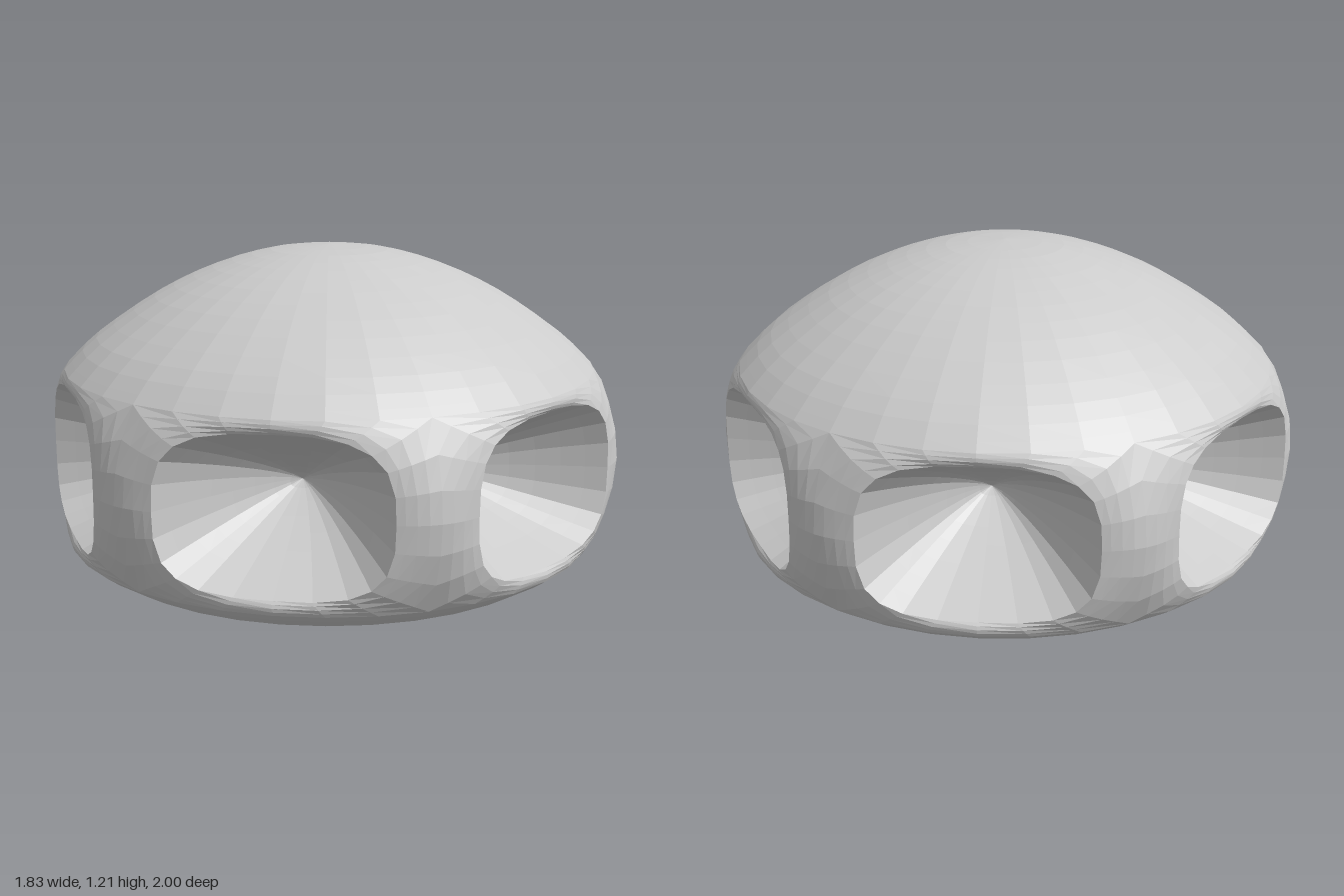
import * as THREE from 'three';

const SIDES = 6;      // sockets around the body
const COLS = 6;       // grid steps along each edge of a side panel
const LOW = 0.2, HIGH = 0.8, MID = 0.5;
const RIM = { dist: 0.905, halfWidth: 0.37, halfHeight: 0.255, depth: 0.45 };

const ridgeRadius = (y) => 1 - (y - MID) ** 2;

// Points of the square [-1,1]^2, counterclockwise
function squarePerimeter() {
  const pts = [];
  for (let edge = 0; edge < 4; edge++) {
    for (let i = 0; i < COLS; i++) {
      const t = -1 + (2 * i) / COLS;
      pts.push([[t, -1], [1, t], [-t, 1], [-1, -t]][edge]);
    }
  }
  return pts;
}

// One sixth of the wall: funnel socket, rim and the wall around it, facing +x
function sidePanelGeometry() {
  const loop = squarePerimeter();
  const rings = [];
  const rimPoint = ([u, v]) => {
    const k = (Math.abs(u) ** 3.2 + Math.abs(v) ** 3.2) ** (-1 / 3.2);
    return [u * k * RIM.halfWidth, v * k * RIM.halfHeight];
  };

  // Funnel from its apex to the rim
  for (const s of [0, 0.1, 0.22, 0.36, 0.5, 0.64, 0.77, 0.89, 1]) {
    const x = RIM.dist - RIM.depth * (1 - s ** 1.3);
    rings.push(loop.map((p) => {
      const [a, h] = rimPoint(p);
      return [x, MID + h * s, -a * s];
    }));
  }

  // Wall from the rim out to the panel border
  for (const t of [0.2, 0.45, 0.72, 1]) {
    rings.push(loop.map((p) => {
      const [a, h] = rimPoint(p);
      const bulge = Math.sin((t * Math.PI) / 2);
      const y = THREE.MathUtils.lerp(MID + h, MID + p[1] * (HIGH - MID), t);
      const angle = THREE.MathUtils.lerp(Math.atan2(a, RIM.dist), (p[0] * Math.PI) / SIDES, t);
      const r = THREE.MathUtils.lerp(Math.hypot(a, RIM.dist), ridgeRadius(y), bulge);
      return [r * Math.cos(angle), y, -r * Math.sin(angle)];
    }));
  }

  const n = loop.length;
  const index = [];
  for (let i = 0; i < rings.length - 1; i++) {
    for (let j = 0; j < n; j++) {
      const a = i * n + j, d = i * n + ((j + 1) % n);
      const b = a + n, c = d + n;
      if (i > 0) index.push(a, c, d);
      index.push(a, b, c);
    }
  }
  const geo = new THREE.BufferGeometry();
  geo.setAttribute('position', new THREE.Float32BufferAttribute(rings.flat(2), 3));
  geo.setIndex(index);
  geo.computeVertexNormals();
  return geo;
}

// Round cap from a smoothed profile, listed from bottom to top
function capGeometry(points, steps) {
  const curve = new THREE.SplineCurve(points.map(([r, y]) => new THREE.Vector2(r, y)));
  return new THREE.LatheGeometry(curve.getPoints(steps), SIDES * COLS);
}

export function createModel() {
  const group = new THREE.Group();
  const material = new THREE.MeshStandardMaterial({
    color: 0xcccccc, flatShading: true, side: THREE.DoubleSide,
  });
  const add = (name, geometry) => {
    const mesh = new THREE.Mesh(geometry, material);
    mesh.name = name;
    group.add(mesh);
    return mesh;
  };

  // Domed top and shallow underside
  add('dome', capGeometry(
    [[0.91, HIGH], [0.8, 0.905], [0.6, 1.04], [0.4, 1.135], [0.2, 1.192], [0, 1.21]], 15));
  add('underside', capGeometry(
    [[0, 0], [0.2, 0.008], [0.4, 0.025], [0.6, 0.06], [0.8, 0.13], [0.91, LOW]], 10));

  // Ring of socketed panels
  const panel = sidePanelGeometry();
  for (let i = 0; i < SIDES; i++) {
    add('socketPanel', panel).rotation.y = (i * 2 * Math.PI) / SIDES;
  }
  return group;
}
